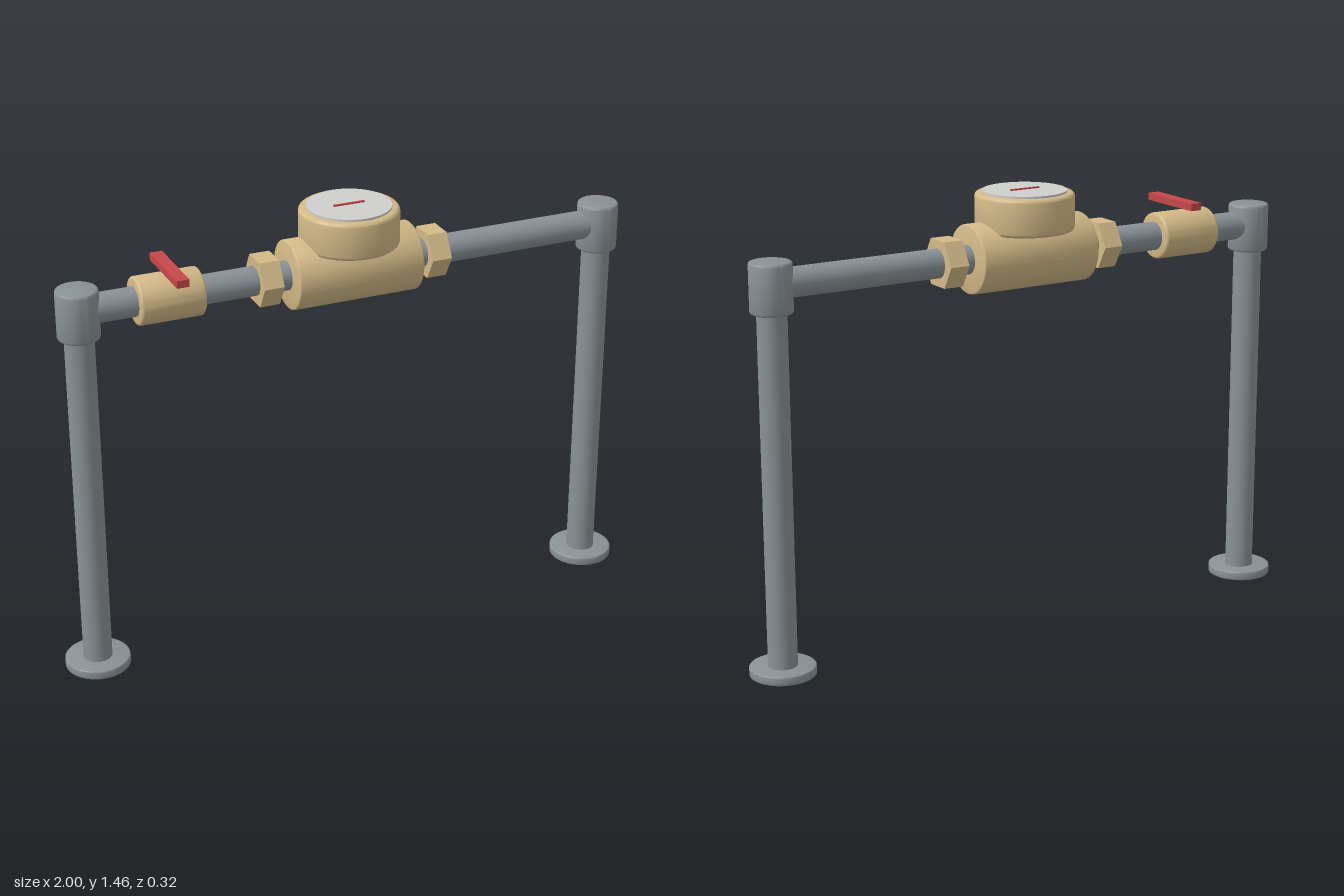
import * as THREE from 'three';
import { toCreasedNormals } from 'three/addons/utils/BufferGeometryUtils.js';

const mat = (name, color) => {
  const m = new THREE.MeshStandardMaterial({ color });
  m.name = name;
  return m;
};

// Capped round bar along y, centred on the origin, with softened rims
function roundBar(r, h, bevel = 0.006) {
  const y = h / 2, pts = [new THREE.Vector2(0, -y)];
  for (let i = 0; i <= 3; i++) {
    const a = (i / 3) * Math.PI / 2;
    pts.push(new THREE.Vector2(r - bevel + bevel * Math.sin(a), -y + bevel - bevel * Math.cos(a)));
  }
  for (let i = 0; i <= 3; i++) {
    const a = (i / 3) * Math.PI / 2;
    pts.push(new THREE.Vector2(r - bevel + bevel * Math.cos(a), y - bevel + bevel * Math.sin(a)));
  }
  pts.push(new THREE.Vector2(0, y));
  return toCreasedNormals(new THREE.LatheGeometry(pts, 48), 0.6);
}

export function createModel() {
  const steel = mat('steel', 0x8a9297);
  const brass = mat('brass', 0xd3b987);
  const dial = mat('dial', 0xcfcfcd);
  const red = mat('red', 0xc5484a);
  const model = new THREE.Group();
  const axisY = 1.252, legX = 0.894;

  const add = (name, geometry, material, x, y, z = 0) => {
    const mesh = new THREE.Mesh(geometry, material);
    mesh.name = name;
    mesh.position.set(x, y, z);
    model.add(mesh);
    return mesh;
  };
  // Turn a part made along y so that it lies along the pipe
  const alongX = (geometry) => geometry.rotateZ(Math.PI / 2);

  // Mirrored supports and union nuts
  for (const [side, s] of [['left', 1], ['right', -1]]) {
    add(side + 'Foot', roundBar(0.106, 0.03, 0.004), steel, s * legX, 0.015);
    add(side + 'Leg', new THREE.CylinderGeometry(0.047, 0.047, 1.2, 40), steel, s * legX, 0.62);
    add(side + 'Elbow', roundBar(0.067, 0.16, 0.008), steel, s * legX, 1.244);
    const nut = alongX(new THREE.CylinderGeometry(0.085, 0.085, 0.066, 6));
    add(side + 'UnionNut', toCreasedNormals(nut, 0.3), brass, s * 0.287, axisY);
  }

  // Horizontal pipe through all fittings
  add('pipe', alongX(new THREE.CylinderGeometry(0.047, 0.047, 2 * legX, 40)), steel, 0, axisY);

  // Meter body, register head, dial and needle
  add('meterBody', alongX(roundBar(0.112, 0.424)), brass, 0, axisY);
  add('meterHead', roundBar(0.16, 0.122, 0.012), brass, 0, 1.388);
  add('dialFace', new THREE.CylinderGeometry(0.135, 0.135, 0.008, 48), dial, 0, 1.452);
  add('needle', new THREE.BoxGeometry(0.105, 0.005, 0.009), red, 0, 1.4575);

  // Shut-off valve with its lever
  add('valveBody', alongX(roundBar(0.077, 0.21, 0.008)), brass, -0.609, axisY);
  add('valveLever', new THREE.BoxGeometry(0.04, 0.024, 0.245), red, -0.609, 1.352, 0.033);

  return model;
}
